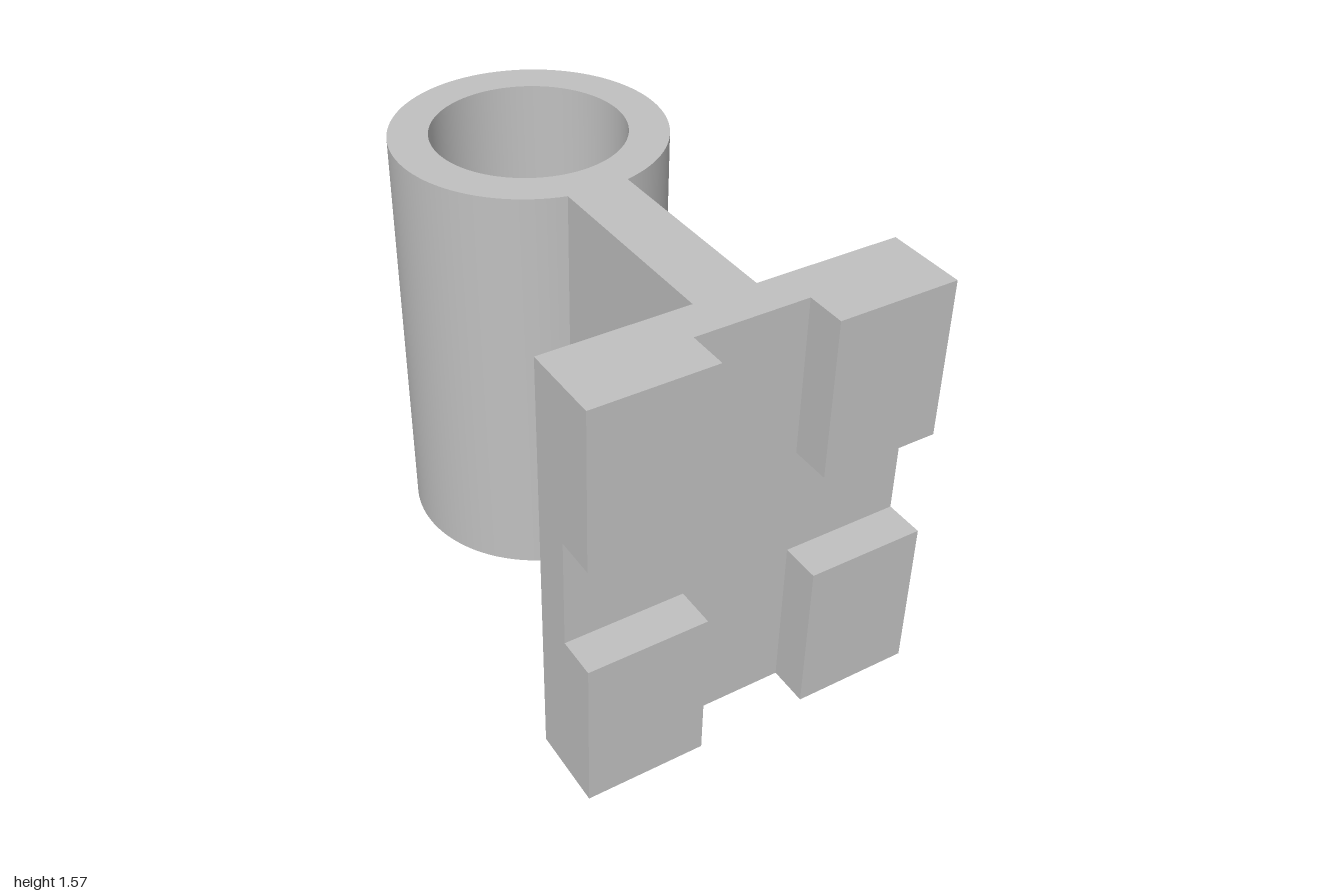
import * as THREE from 'three';
import { toCreasedNormals } from 'three/addons/utils/BufferGeometryUtils.js';

const HEIGHT = 1.57;
const HALF_WIDTH = 0.637;      // flange half width
const WEB = 0.113;             // web half thickness
const FLANGE_BACK = 0.71, FLANGE_FRONT = 0.855, PAD_FRONT = 1;
const RING_Z = -0.508, OUTER = 0.492, INNER = 0.349;
const SLOT = 0.204;            // half width of the vertical channel
const PAD_HEIGHT = 0.58;

export function createModel() {
  const model = new THREE.Group();
  const grey = new THREE.MeshStandardMaterial({ color: 0xc0c0c0 });
  grey.name = 'plain grey';

  // Plan outline: flange, web and ring in one profile (shape y is -z)
  const open = Math.asin(WEB / OUTER);
  const plan = new THREE.Shape();
  plan.moveTo(-HALF_WIDTH, -FLANGE_FRONT);
  plan.lineTo(HALF_WIDTH, -FLANGE_FRONT);
  plan.lineTo(HALF_WIDTH, -FLANGE_BACK);
  plan.lineTo(WEB, -FLANGE_BACK);
  plan.absarc(0, -RING_Z, OUTER, -Math.PI / 2 + open, Math.PI * 1.5 - open, false);
  plan.lineTo(-WEB, -FLANGE_BACK);
  plan.lineTo(-HALF_WIDTH, -FLANGE_BACK);
  plan.closePath();

  // Bore through the ring
  const bore = new THREE.Path();
  bore.absarc(0, -RING_Z, INNER, 0, Math.PI * 2, true);
  plan.holes.push(bore);

  const bodyGeometry = new THREE.ExtrudeGeometry(plan, {
    depth: HEIGHT, bevelEnabled: false, curveSegments: 48,
  });
  bodyGeometry.rotateX(-Math.PI / 2);
  const body = new THREE.Mesh(toCreasedNormals(bodyGeometry, 0.5), grey);
  body.name = 'ringWebAndFlange';
  model.add(body);

  // Four pads leave a cross-shaped channel on the front face
  const padWidth = HALF_WIDTH - SLOT;
  const padDepth = PAD_FRONT - FLANGE_FRONT;
  const padGeometry = new THREE.BoxGeometry(padWidth, PAD_HEIGHT, padDepth);
  for (const [side, sx] of [['Left', 1], ['Right', -1]]) {
    for (const [level, y] of [['lower', PAD_HEIGHT / 2], ['upper', HEIGHT - PAD_HEIGHT / 2]]) {
      const pad = new THREE.Mesh(padGeometry, grey);
      pad.name = `${level}${side}Pad`;
      pad.position.set(sx * (SLOT + padWidth / 2), y, FLANGE_FRONT + padDepth / 2);
      model.add(pad);
    }
  }
  return model;
}
